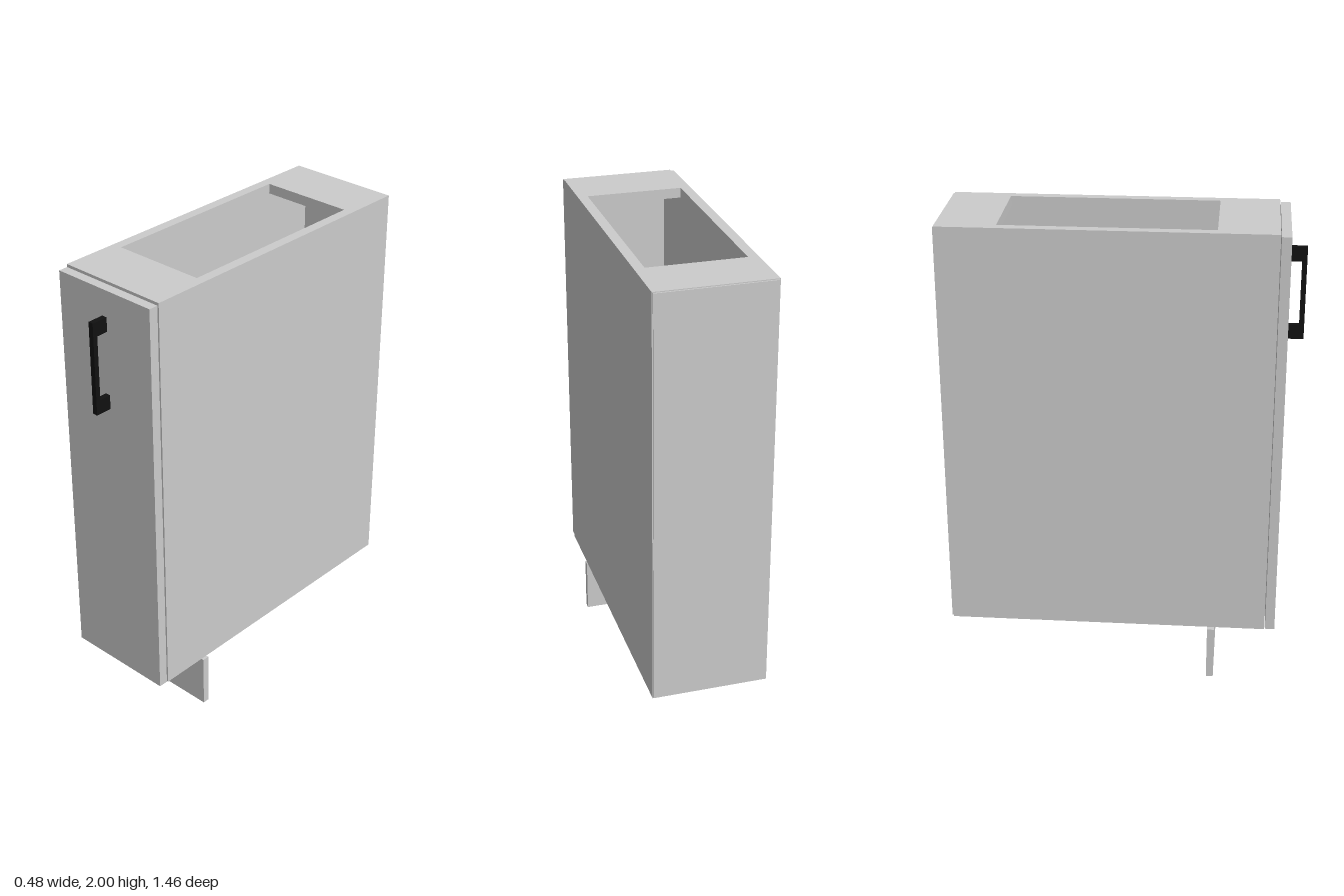
import * as THREE from 'three';

const grey = new THREE.MeshStandardMaterial({ color: 0xcccccc });
const black = new THREE.MeshStandardMaterial({ color: 0x111111 });

// Box given by its extents along each axis
function panel(name, [x0, x1], [y0, y1], [z0, z1], material = grey) {
  const mesh = new THREE.Mesh(new THREE.BoxGeometry(x1 - x0, y1 - y0, z1 - z0), material);
  mesh.position.set((x0 + x1) / 2, (y0 + y1) / 2, (z0 + z1) / 2);
  mesh.name = name;
  return mesh;
}

export function createModel() {
  const model = new THREE.Group();
  model.name = 'baseCabinet';

  const W = 0.242, T = 0.042;          // half width, board thickness
  const bottom = 0.249, top = 2;
  const back = -0.724, front = 0.617;
  const inner = [-W + T, W - T];

  // Carcass: sides, floor and two top stretchers
  const carcass = new THREE.Group();
  carcass.name = 'carcass';
  carcass.add(
    panel('leftSide', [W - T, W], [bottom, top], [back, front]),
    panel('rightSide', [-W, -W + T], [bottom, top], [back, front]),
    panel('floor', inner, [bottom, bottom + T], [back, front]),
    panel('frontStretcher', inner, [top - T, top], [0.375, front]),
    panel('backStretcher', inner, [top - T, top], [back, -0.485])
  );
  model.add(carcass);

  // Thin back panel, slightly inset from the carcass edges
  model.add(panel('backPanel', [-0.238, 0.238], [bottom + 0.004, top - 0.004], [-0.73, back]));

  // Door and plinth board
  model.add(panel('door', [-0.238, 0.238], [bottom, 1.99], [0.62, 0.66]));
  model.add(panel('plinth', [-W, W], [0, 0.235], [0.373, 0.403]));

  // Bar handle on two posts
  const handle = new THREE.Group();
  handle.name = 'handle';
  const hx = [-0.011, 0.011];
  handle.add(panel('grip', hx, [1.49, 1.88], [0.71, 0.73], black));
  for (const y of [1.49, 1.82]) {
    handle.add(panel('handlePost', hx, [y, y + 0.06], [0.66, 0.71], black));
  }
  model.add(handle);

  return model;
}
